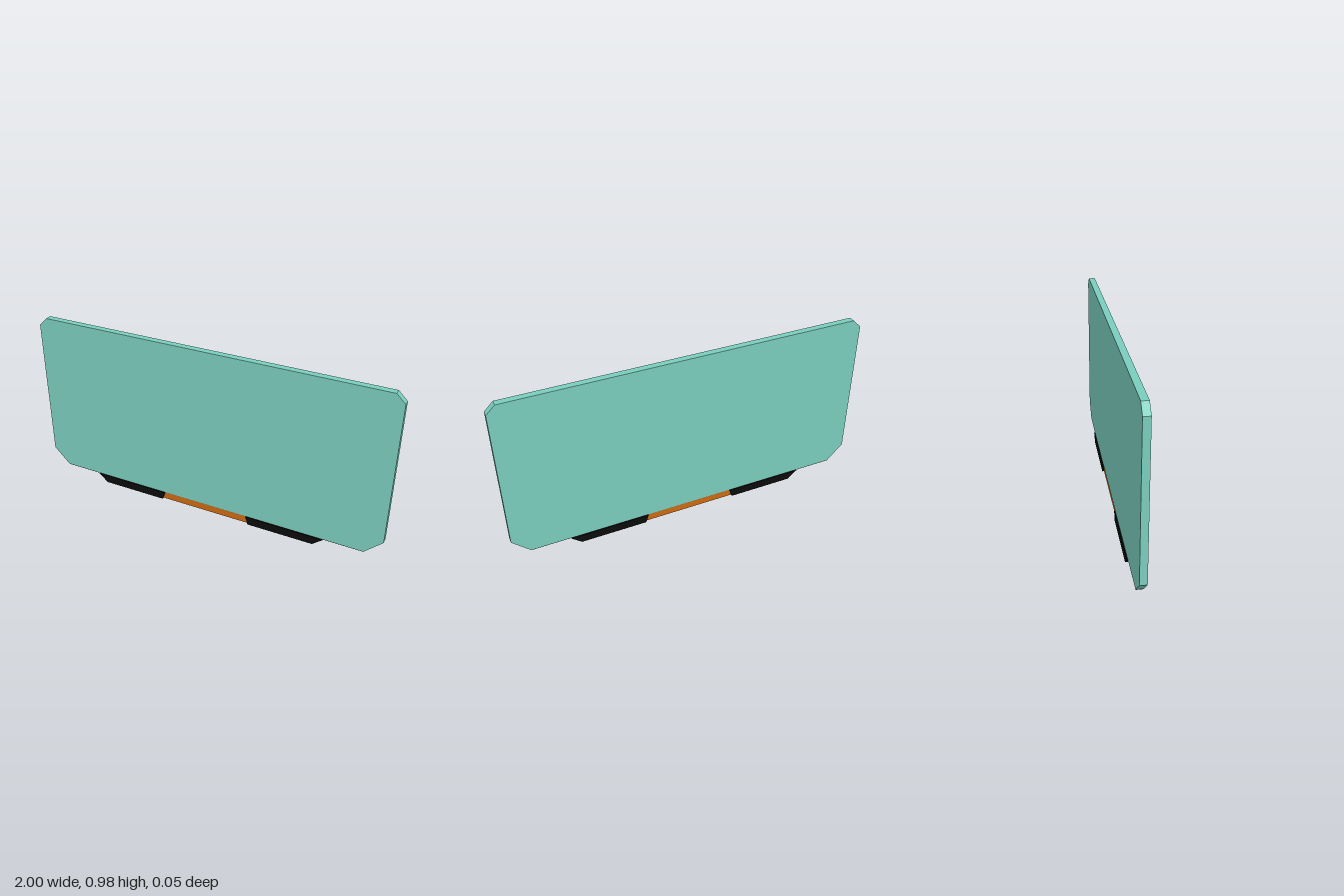
import * as THREE from 'three';

const mat = (name, color) => {
  const m = new THREE.MeshStandardMaterial({ color });
  m.name = name;
  return m;
};

// Extrudes an outline in x/y, centred on z = 0
function slab(name, points, depth, material) {
  const shape = new THREE.Shape(points.map(([x, y]) => new THREE.Vector2(x, y)));
  const geometry = new THREE.ExtrudeGeometry(shape, { depth, bevelEnabled: false });
  geometry.translate(0, 0, -depth / 2);
  const mesh = new THREE.Mesh(geometry, material);
  mesh.name = name;
  return mesh;
}

export function createModel() {
  const teal = mat('teal', 0x7accbc);
  const black = mat('black', 0x0b0b0b);
  const orange = mat('orange', 0xcc6a10);
  const grey = mat('grey', 0x5c6668);

  const group = new THREE.Group();
  group.name = 'panelOnFeet';

  // Upright panel with clipped corners
  group.add(slab('panel', [
    [-0.908, 0.047], [0.908, 0.047], [1, 0.138], [1, 0.93],
    [0.953, 0.975], [-0.953, 0.975], [-1, 0.93], [-1, 0.138],
  ], 0.036, teal));

  // Thin underside strip, grey between the feet
  const strip = (name, x0, x1, material) => group.add(slab(name,
    [[x0, 0.0455], [x1, 0.0455], [x1, 0.047], [x0, 0.047]], 0.036, material));
  strip('undersideMiddle', -0.25, 0.25, grey);

  for (const s of [-1, 1]) {
    const side = s > 0 ? 'left' : 'right';
    strip(side + 'Underside', ...(s > 0 ? [0.25, 0.908] : [-0.908, -0.25]), black);
    // Tapered foot
    const foot = [[0.265, 0], [0.635, 0], [0.69, 0.046], [0.25, 0.046]];
    group.add(slab(side + 'Foot', foot.map(([x, y]) => [s * x, y]), 0.048, black));
  }

  // Connector bar between the feet
  group.add(slab('connector', [
    [-0.265, 0.002], [0.265, 0.002], [0.25, 0.0455], [-0.25, 0.0455],
  ], 0.028, orange));

  return group;
}
